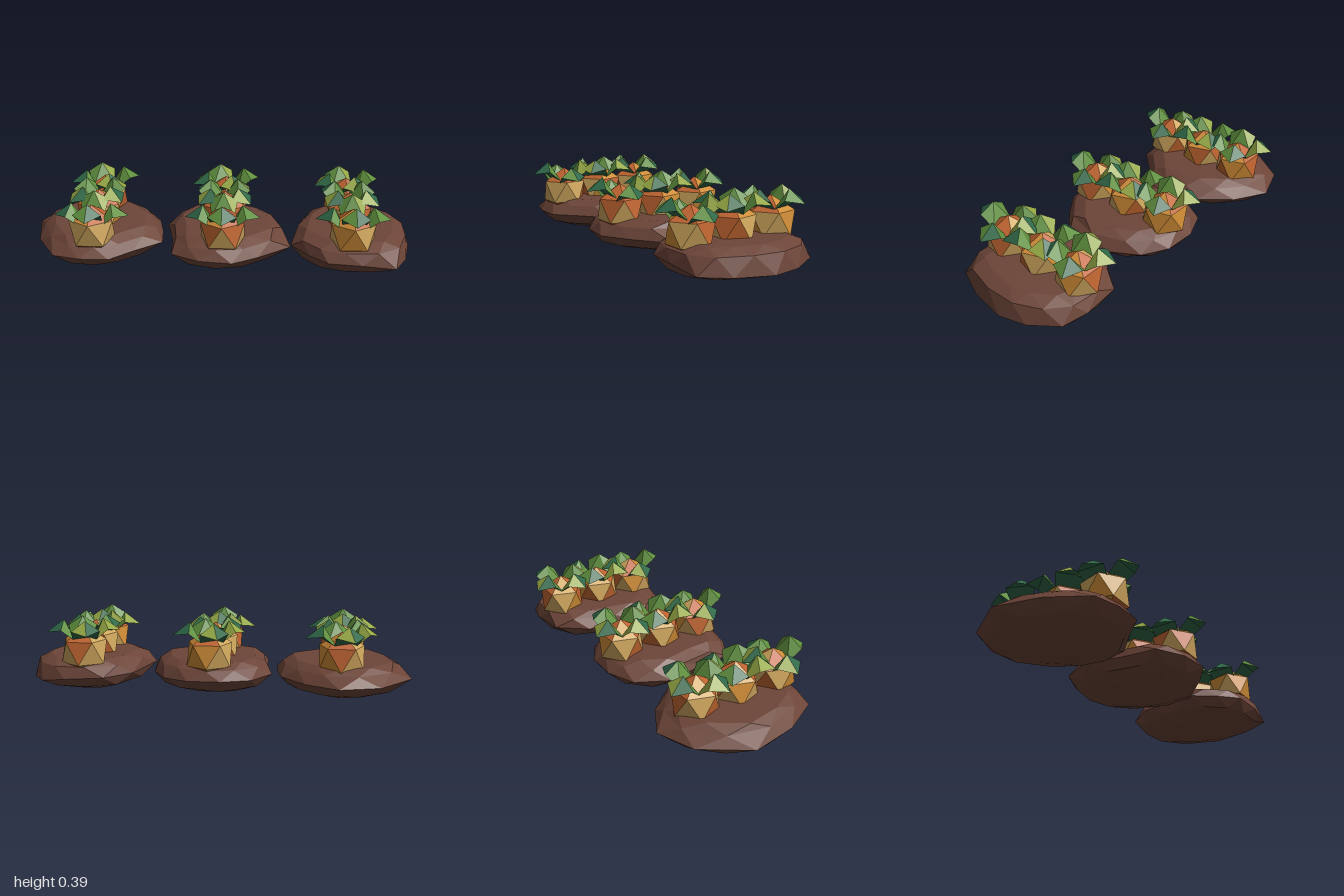
import * as THREE from 'three';

const material = (name, color) => {
  const m = new THREE.MeshStandardMaterial({ color, flatShading: true });
  m.name = name;
  return m;
};

// Flat-faced solid; every triangle is turned to face away from the centre
function facets(triangles, centre, materialOf = () => 0) {
  const positions = [];
  const geo = new THREE.BufferGeometry();
  triangles.forEach(([a, b, c], i) => {
    const n = b.clone().sub(a).cross(c.clone().sub(a));
    const mid = a.clone().add(b).add(c).divideScalar(3).sub(centre);
    const order = n.dot(mid) < 0 ? [a, c, b] : [a, b, c];
    order.forEach((p) => positions.push(p.x, p.y, p.z));
    geo.addGroup(i * 3, 3, materialOf(i));
  });
  geo.setAttribute('position', new THREE.Float32BufferAttribute(positions, 3));
  geo.computeVertexNormals();
  return geo;
}

const V = (x, y, z) => new THREE.Vector3(x, y, z);

// Soil mound: rings scaled from one outline, alternate rings turned half a step
function moundGeometry({ outline, x: cx, tilt, fullness }) {
  const n = outline.length;
  const levels = [[0.55, 0.022], [fullness - 0.03, 0.055], [1, 0.108], [fullness, 0.157], [0.73, 0.187]];
  const rings = levels.map(([s, y], k) => outline.map((p, i) => {
    const q = outline[(i + 1) % n];
    const half = k % 2 ? 0.5 : 0;
    const x = p[0] + (q[0] - p[0]) * half - cx;
    const z = p[1] + (q[1] - p[1]) * half;
    const drop = k === 2 ? tilt * Math.max(0, x) : 0;
    return V(x * s, y - drop, z * s);
  }));
  const tris = [];
  for (let k = 0; k < rings.length - 1; k++) {
    const [lo, hi] = [rings[k], rings[k + 1]];
    for (let i = 0; i < n; i++) {
      const j = (i + 1) % n;
      if (k % 2 === 0) tris.push([lo[i], lo[j], hi[i]], [lo[j], hi[j], hi[i]]);
      else tris.push([lo[i], hi[j], hi[i]], [lo[i], lo[j], hi[j]]);
    }
  }
  const bottom = V(0, 0.003, 0), top = V(0, 0.19, 0);
  for (let i = 0; i < n; i++) {
    const j = (i + 1) % n;
    tris.push([bottom, rings[0][i], rings[0][j]], [top, rings[4][i], rings[4][j]]);
  }
  return facets(tris, V(0, 0.1, 0));
}

// Fruit: upright icosahedron; sides colours the ten side faces and cap the end faces,
// both starting at the front and going round by the model's left
function fruitGeometry(sides, cap) {
  const geo = new THREE.IcosahedronGeometry(0.13, 0);
  geo.rotateX(-Math.atan((1 + Math.sqrt(5)) / 2));
  geo.clearGroups();
  const p = geo.attributes.position;
  const mean = (get, i) => (get(i) + get(i + 1) + get(i + 2)) / 3;
  for (let i = 0; i < p.count; i += 3) {
    const x = mean((j) => p.getX(j), i);
    const y = mean((j) => p.getY(j), i);
    const z = mean((j) => p.getZ(j), i);
    const k = (Math.round(Math.atan2(x, z) / (Math.PI / 5)) + 10) % 10;
    const colour = Math.abs(y) > 0.06 ? cap[Math.floor(k / 2)] : sides[k];
    geo.addGroup(i, 3, 'toa'.indexOf(colour));
  }
  return geo;
}

// Leaf pointing along +x: wide base, raised peak, two wings and a drooping tip
function leafGeometry(topColours) {
  const baseL = V(0.045, 0.285, -0.058), baseR = V(0.045, 0.285, 0.058);
  const wingL = V(0.12, 0.345, -0.073), wingR = V(0.12, 0.345, 0.073);
  const peak = V(0.1, 0.395, 0), tip = V(0.19, 0.329, 0);
  const tris = [
    [baseL, wingL, peak], [baseL, baseR, peak], [baseR, wingR, peak],
    [wingL, tip, peak], [wingR, tip, peak],
    [baseL, baseR, wingR], [baseL, wingR, wingL], [wingL, wingR, tip],
  ];
  return facets(tris, V(0.1, 0.36, 0), (i) => topColours[i] ?? 2);
}

export function createModel() {
  const soil = material('soil brown', 0x6d4538);
  const fruitMats = [
    material('fruit tan', 0xd0a75e),
    material('fruit orange', 0xbf6430),
    material('fruit amber', 0xcf8c36),
  ];
  const leafMats = [
    material('leaf light green', 0x95a845),
    material('leaf green', 0x5f8f3e),
    material('leaf dark green', 0x2f6848),
  ];

  // Outlines seen from above, and fruit side colours from front to back
  const mounds = [
    { x: -0.645, tilt: 0, fullness: 0.9, fruits: ['ttttototat', 'otaototato', 'otoaaottot'],
      outline: [[-1, -0.13], [-0.84, -0.36], [-0.64, -0.43], [-0.47, -0.33], [-0.34, -0.17],
        [-0.31, -0.02], [-0.3, 0.13], [-0.44, 0.25], [-0.55, 0.36], [-0.7, 0.36], [-0.84, 0.32], [-0.95, 0.12]] },
    { x: 0.02, tilt: 0.03, fullness: 0.92, fruits: ['tototatoto', 'totaototao', 'ttaaaattot'],
      outline: [[-0.29, -0.11], [-0.2, -0.28], [-0.05, -0.34], [0.12, -0.33], [0.25, -0.25],
        [0.33, -0.1], [0.37, 0.14], [0.2, 0.29], [0.07, 0.38], [-0.1, 0.36], [-0.24, 0.28], [-0.25, 0.1]] },
    { x: 0.675, tilt: 0.14, fullness: 0.95, fruits: ['attototata', 'toottaotot', 'attatottao'],
      outline: [[0.37, 0.14], [0.43, -0.18], [0.55, -0.33], [0.75, -0.34], [0.88, -0.3],
        [0.97, -0.15], [1, 0], [0.96, 0.2], [0.89, 0.35], [0.72, 0.37], [0.55, 0.36], [0.46, 0.27]] },
  ];
  // Plant position along the row, direction of its first leaf, droop of its side leaves
  const plants = [
    { z: 0.24, turn: 90, droop: 0.03, cap: 'ootoa' },
    { z: 0.01, turn: 42, droop: 0, cap: 'oaoto' },
    { z: -0.22, turn: -110, droop: 0, cap: 'oaoto' },
  ];
  // Top facets: left, inner and right of the base, then left and right of the tip
  const leaves = [[1, 1, 1, 2, 0], [1, 1, 0, 2, 0], [1, 1, 1, 2, 1]].map(leafGeometry);

  const model = new THREE.Group();
  model.name = 'fruitBeds';
  mounds.forEach((spec) => {
    const bed = new THREE.Group();
    bed.name = 'bed';
    bed.position.x = spec.x;
    const mound = new THREE.Mesh(moundGeometry(spec), soil);
    mound.name = 'soilMound';
    bed.add(mound);

    plants.forEach(({ z, turn, droop, cap }, p) => {
      const plant = new THREE.Group();
      plant.name = 'plant';
      plant.position.z = z;
      const fruit = new THREE.Mesh(fruitGeometry(spec.fruits[p], cap), fruitMats);
      fruit.name = 'fruit';
      fruit.position.y = 0.226;
      plant.add(fruit);
      // Crown of four leaves
      for (let i = 0; i < 4; i++) {
        const leaf = new THREE.Mesh(leaves[(i + p + 2) % 3], leafMats);
        leaf.name = 'leaf';
        leaf.rotation.y = -THREE.MathUtils.degToRad(turn + i * 90);
        leaf.position.y = i % 2 ? -droop : 0;
        plant.add(leaf);
      }
      bed.add(plant);
    });
    model.add(bed);
  });
  return model;
}
